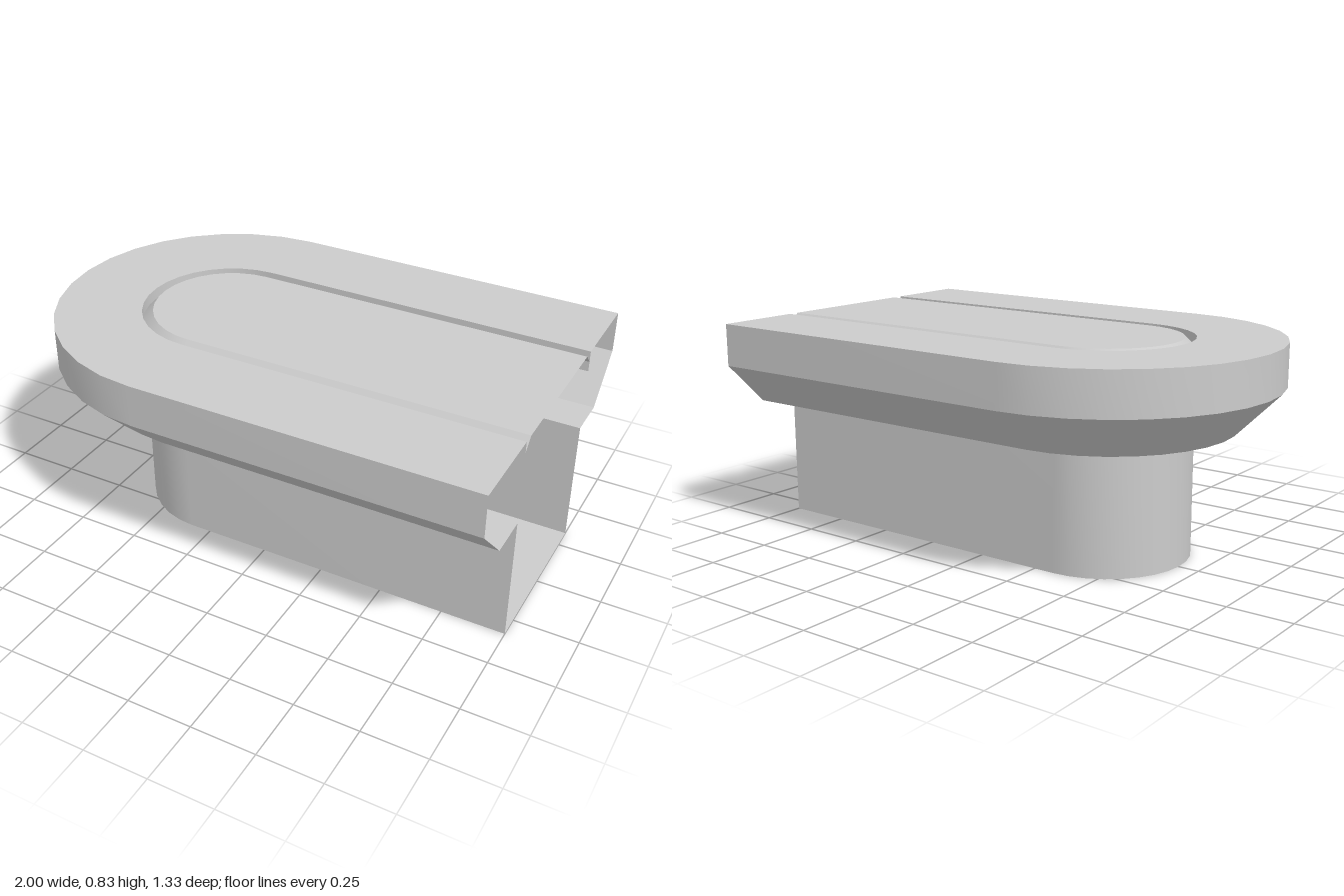
import * as THREE from 'three';

const ARC_X = -1 / 3, END_X = 1, SEGMENTS = 16;
const material = new THREE.MeshStandardMaterial({ color: 0xcccccc, side: THREE.DoubleSide });

// U-shaped plan outline at distance r from the centre line, open at the +x end
function outline(r) {
  const points = [[END_X, -r]];
  for (let i = 0; i <= SEGMENTS; i++) {
    const a = (i / SEGMENTS) * Math.PI;
    points.push([ARC_X - r * Math.sin(a), -r * Math.cos(a)]);
  }
  points.push([END_X, r]);
  return points;
}

// Band swept around the outline between two [radius, height] profile points
function band([r0, y0], [r1, y1]) {
  const lower = outline(r0), upper = outline(r1);
  const positions = [], index = [];
  lower.forEach(([x, z], i) => {
    positions.push(x, y0, z, upper[i][0], y1, upper[i][1]);
    if (i > 0) {
      const a = 2 * (i - 1);
      index.push(a, a + 2, a + 1, a + 1, a + 2, a + 3);
    }
  });
  const geometry = new THREE.BufferGeometry();
  geometry.setAttribute('position', new THREE.Float32BufferAttribute(positions, 3));
  geometry.setIndex(index);
  geometry.computeVertexNormals();
  return geometry;
}

// Flat plate filling the outline
function plate(r, y, facing) {
  const shape = new THREE.Shape(outline(r).map(([x, z]) => new THREE.Vector2(x, z)));
  return new THREE.ShapeGeometry(shape).rotateX(-facing * Math.PI / 2).translate(0, y, 0);
}

export function createModel() {
  const model = new THREE.Group();
  const add = (name, geometry) => {
    const mesh = new THREE.Mesh(geometry, material);
    mesh.name = name;
    model.add(mesh);
  };

  const inner = 0.333, outer = 0.667, top = 0.833;

  // Hollow pedestal
  add('pedestalFloor', plate(inner, 0, -1));
  add('pedestalWall', band([inner, 0], [inner, 0.5]));

  // Overhanging rim
  add('rimUnderside', band([inner, 0.5], [0.5, 0.5]));
  add('rimChamfer', band([0.5, 0.5], [outer, outer]));
  add('rimWall', band([outer, outer], [outer, top]));
  add('rimTop', band([outer, top], [inner, top]));
  add('rimInnerLip', band([inner, top], [inner, 0.75]));

  // Inset panel with bevelled edge forming the groove
  add('panelBevel', band([inner, 0.79], [0.291, top]));
  add('panelTop', plate(0.291, top, 1));

  return model;
}
